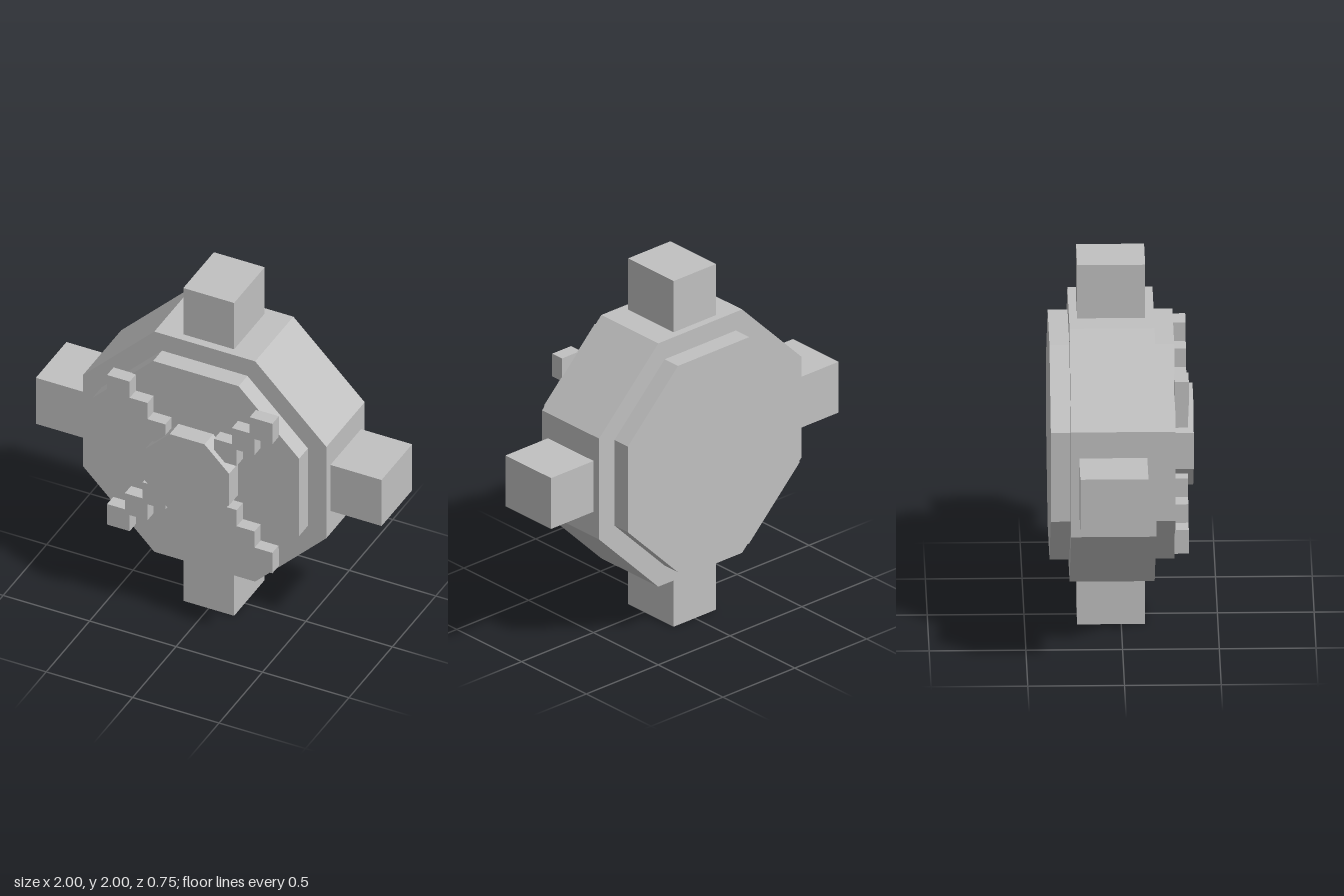
import * as THREE from 'three';

export function createModel() {
  const model = new THREE.Group();
  model.name = 'octagonalDevice';
  const grey = new THREE.MeshStandardMaterial({ color: 0xc0c0c0, flatShading: true });
  grey.name = 'grey';
  const cy = 1.0; // height of the centre

  const add = (name, geometry, x = 0, y = cy, z = 0) => {
    const mesh = new THREE.Mesh(geometry, grey);
    mesh.name = name;
    mesh.position.set(x, y, z);
    model.add(mesh);
    return mesh;
  };

  // Regular octagonal slab, flat side up, facing z
  const octagon = (name, apothem, back, front) => {
    const r = apothem / Math.cos(Math.PI / 8);
    const g = new THREE.CylinderGeometry(r, r, front - back, 8);
    g.rotateY(Math.PI / 8).rotateX(Math.PI / 2);
    add(name, g, 0, cy, (front + back) / 2);
  };
  octagon('outerBody', 0.704, -0.27, 0.17);
  octagon('innerBody', 0.597, -0.373, 0.272);
  octagon('frontHub', 0.243, 0.26, 0.373);

  // Four square blocks around the rim
  const armNames = ['leftBlock', 'topBlock', 'rightBlock', 'bottomBlock'];
  armNames.forEach((name, i) => {
    const a = i * Math.PI / 2;
    const g = new THREE.BoxGeometry(0.3, 0.294, 0.352);
    g.translate(0.85, 0, 0);
    g.rotateZ(a);
    add(name, g, 0, cy, -0.052);
  });

  // Stepped diagonal ridges, one per quadrant, made of overlapping squares
  const size = 0.131, step = 0.103, start = 0.141;
  const upper = [], lower = [];
  for (let i = 0; i < 3; i++) {
    const a = start + i * step, b = a + size;
    // along the outside corner of each step, then the matching inside corner
    lower.push([b, a]);
    upper.push([a, b]);
    if (i < 2) {
      lower.push([b, a + step]);
      upper.push([a + step, b]);
    }
  }
  const end = start + 2 * step + size;
  const outline = [[start, start], ...lower, [end, end], ...upper.reverse()];
  for (const sx of [1, -1]) {
    for (const sy of [1, -1]) {
      const shape = new THREE.Shape(outline.map(([x, y]) => new THREE.Vector2(x * sx, y * sy)));
      const g = new THREE.ExtrudeGeometry(shape, { depth: 0.075, bevelEnabled: false });
      add((sy > 0 ? 'upper' : 'lower') + (sx > 0 ? 'Left' : 'Right') + 'Ridge', g, 0, cy, 0.268);
    }
  }
  return model;
}
